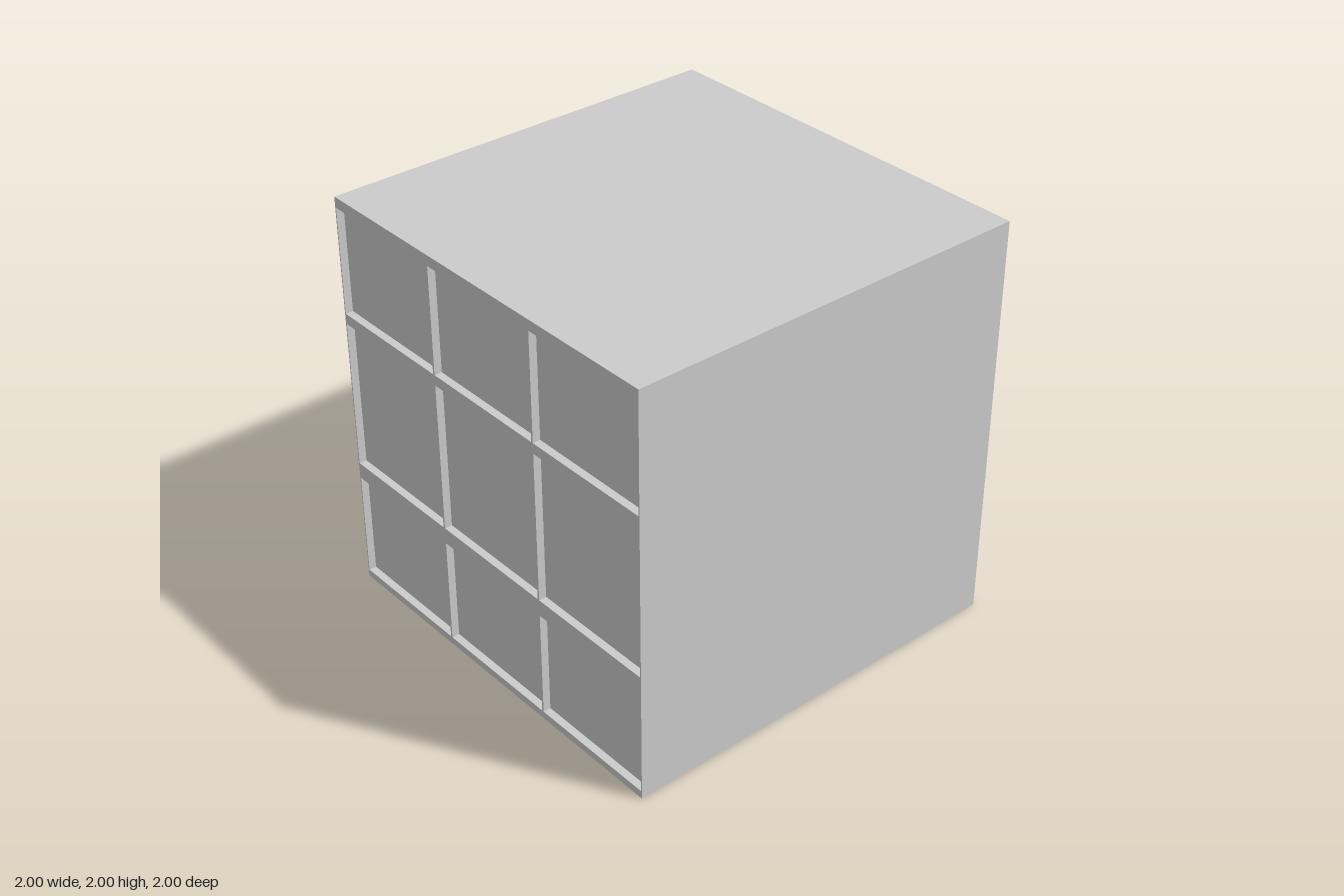
import * as THREE from 'three';

// Opening limits along the depth and the height of the block
const COLUMNS = [[-0.994, -0.34], [-0.33, 0.33], [0.34, 0.994]];
const ROWS = [[0.037, 0.562], [0.643, 1.379], [1.43, 1.949]];
const RECESS = 0.037;

function rectangle(target, x0, x1, y0, y1) {
  target.moveTo(x0, y0);
  target.lineTo(x1, y0);
  target.lineTo(x1, y1);
  target.lineTo(x0, y1);
  target.closePath();
  return target;
}

export function createModel() {
  const model = new THREE.Group();
  model.name = 'windowedBlock';
  const material = new THREE.MeshStandardMaterial({ color: 0xcccccc, flatShading: true });

  // Solid walls, roof and floor with a grid of openings on the two sides
  const outline = rectangle(new THREE.Shape(), -1, 1, 0, 2);
  for (const [z0, z1] of COLUMNS) {
    for (const [y0, y1] of ROWS) {
      outline.holes.push(rectangle(new THREE.Path(), z0, z1, y0, y1));
    }
  }
  const frameGeometry = new THREE.ExtrudeGeometry(outline, { depth: 2, bevelEnabled: false });
  frameGeometry.translate(0, 0, -1).rotateY(Math.PI / 2);
  const frame = new THREE.Mesh(frameGeometry, material);
  frame.name = 'blockFrame';
  model.add(frame);

  // Infill behind each opening, set back equally on both sides
  const panes = new THREE.Group();
  panes.name = 'recessedPanes';
  for (const [z0, z1] of COLUMNS) {
    for (const [y0, y1] of ROWS) {
      const pane = new THREE.Mesh(
        new THREE.BoxGeometry(2 - 2 * RECESS, y1 - y0, z1 - z0), material);
      pane.position.set(0, (y0 + y1) / 2, (z0 + z1) / 2);
      pane.name = 'pane';
      panes.add(pane);
    }
  }
  model.add(panes);
  return model;
}
